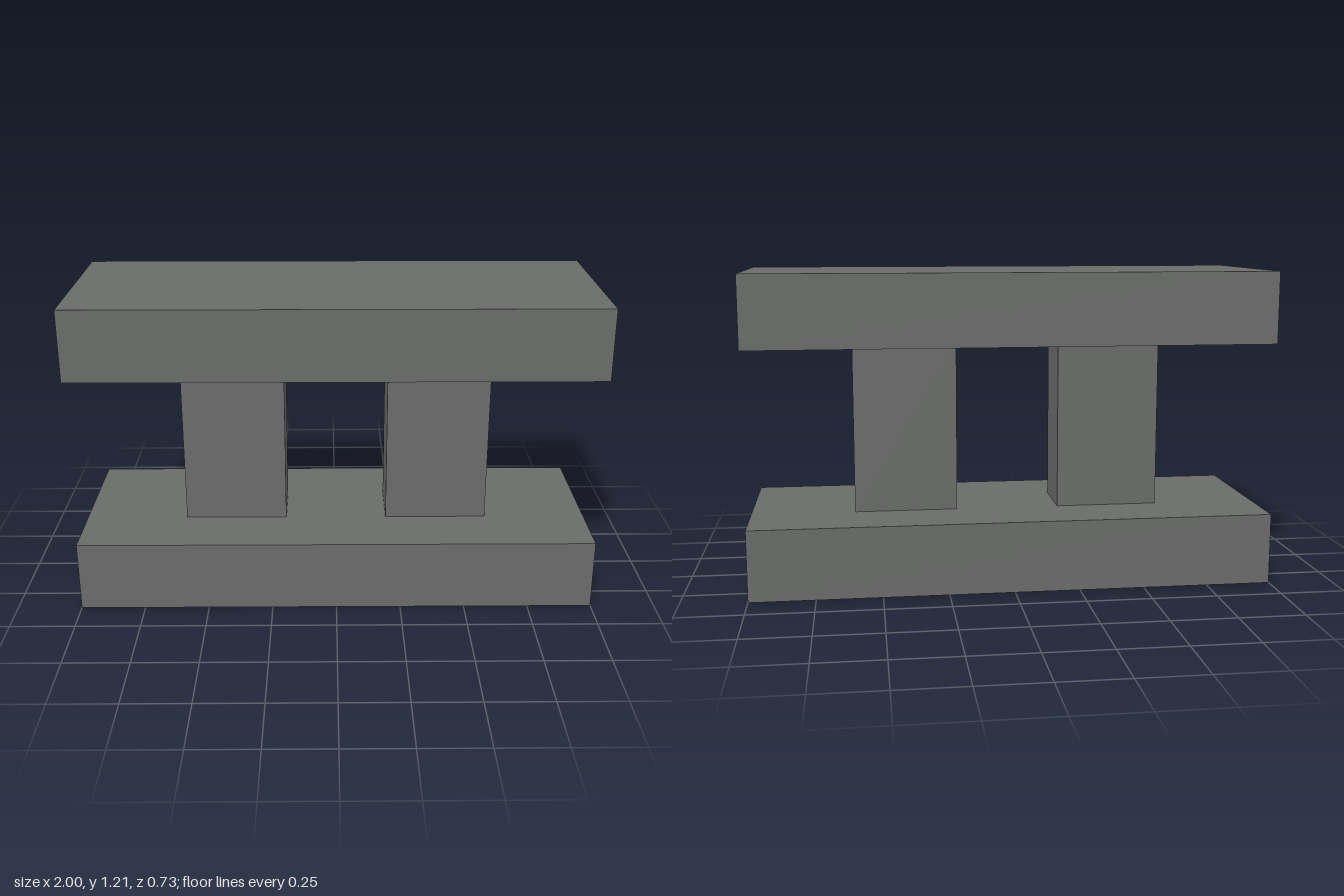
import * as THREE from 'three';

const HEIGHT = 1.21, SLAB = 0.274, WIDTH = 2, DEPTH = 0.726;

export function createModel() {
  const group = new THREE.Group();
  group.name = 'twinPillarStand';
  const grey = new THREE.MeshStandardMaterial({ color: 0x6a6c6a });
  grey.name = 'darkGrey';

  const addBox = (name, [w, h, d], [x, y, z]) => {
    const mesh = new THREE.Mesh(new THREE.BoxGeometry(w, h, d), grey);
    mesh.name = name;
    mesh.position.set(x, y, z);
    group.add(mesh);
  };

  // Matching slabs at the bottom and top
  addBox('baseSlab', [WIDTH, SLAB, DEPTH], [0, SLAB / 2, 0]);
  addBox('topSlab', [WIDTH, SLAB, DEPTH], [0, HEIGHT - SLAB / 2, 0]);

  // Two pillars between the slabs
  for (const [name, side] of [['leftPillar', 1], ['rightPillar', -1]]) {
    addBox(name, [0.4, HEIGHT - 2 * SLAB, 0.242], [side * 0.4, HEIGHT / 2, 0]);
  }
  return group;
}
